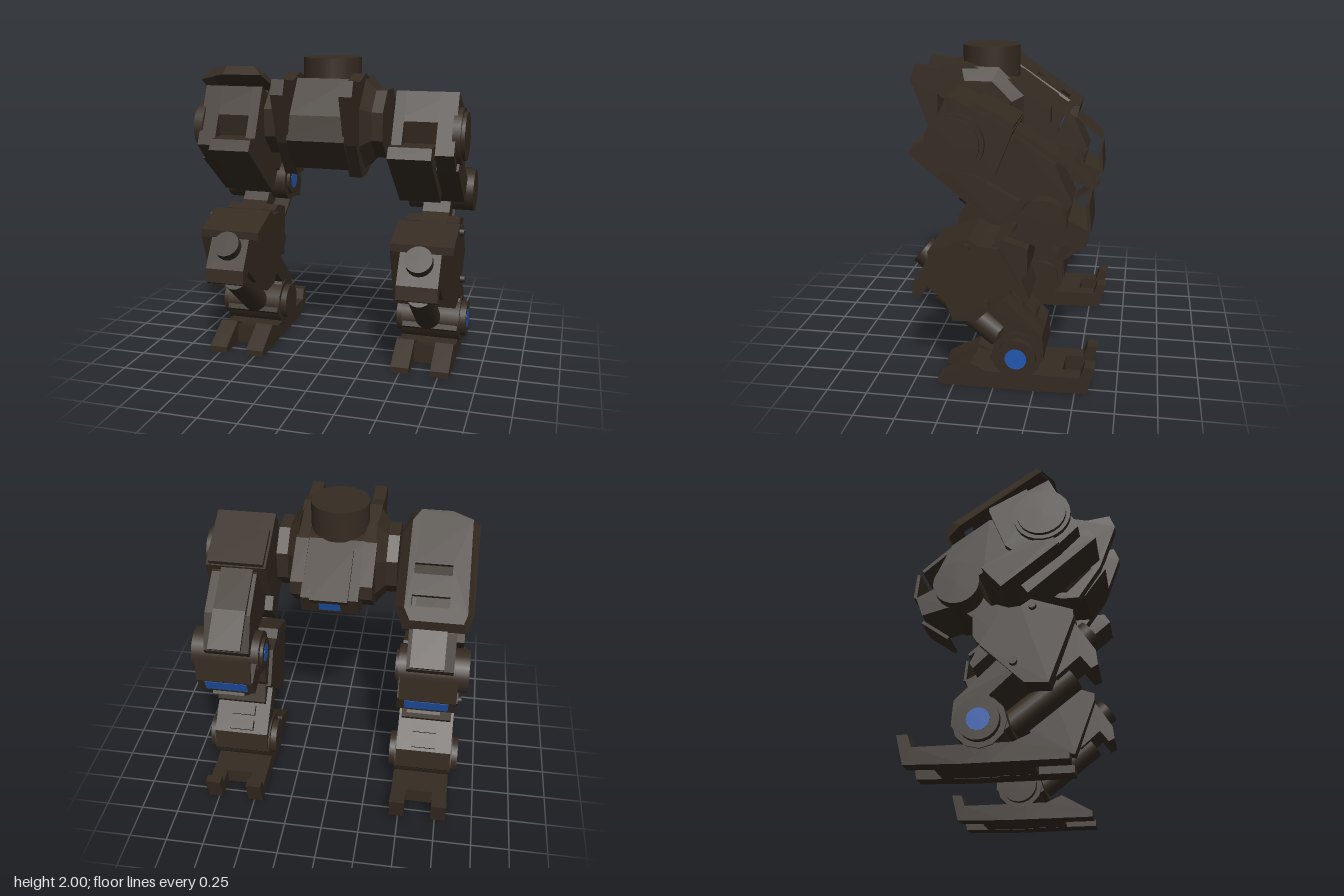
import * as THREE from 'three';

const brown = new THREE.MeshStandardMaterial({ color: 0x352b21 });
brown.name = 'dark brown armour';
const blue = new THREE.MeshStandardMaterial({ color: 0x2358b0 });
blue.name = 'blue light';
const shellBrown = brown.clone();
shellBrown.side = THREE.DoubleSide;

function add(parent, name, geo, mat = brown) {
  const mesh = new THREE.Mesh(geo, mat);
  mesh.name = name;
  parent.add(mesh);
  return mesh;
}

// Side profile given as [z, y] points, extruded from x0 to x1
function prism(parent, name, pts, x0, x1, mat) {
  const shape = new THREE.Shape(pts.map(([z, y]) => new THREE.Vector2(-z, y)));
  const geo = new THREE.ExtrudeGeometry(shape, { depth: Math.abs(x1 - x0), bevelEnabled: false });
  geo.rotateY(Math.PI / 2).translate(Math.min(x0, x1), 0, 0);
  return add(parent, name, geo, mat);
}

// Thin slab along the profile segment a-b, t thick
function slab(parent, name, a, b, t, x0, x1, mat) {
  const l = Math.hypot(b[0] - a[0], b[1] - a[1]);
  const n = [(-(b[1] - a[1]) / l) * t / 2, ((b[0] - a[0]) / l) * t / 2];
  const pts = [[a[0] + n[0], a[1] + n[1]], [b[0] + n[0], b[1] + n[1]],
    [b[0] - n[0], b[1] - n[1]], [a[0] - n[0], a[1] - n[1]]];
  return prism(parent, name, pts, x0, x1, mat);
}

// Cylinder across x between x0 and x1
function disc(parent, name, z, y, r, x0, x1, mat, sides = 24) {
  const geo = new THREE.CylinderGeometry(r, r, Math.abs(x1 - x0), sides);
  geo.rotateZ(Math.PI / 2).translate((x0 + x1) / 2, y, z);
  return add(parent, name, geo, mat);
}

// Cylinder between two [z, y] points in the plane x
function rod(parent, name, a, b, r, x) {
  const from = new THREE.Vector3(x, a[1], a[0]), to = new THREE.Vector3(x, b[1], b[0]);
  const mesh = add(parent, name, new THREE.CylinderGeometry(r, r, from.distanceTo(to), 20));
  mesh.position.copy(from).add(to).multiplyScalar(0.5);
  mesh.quaternion.setFromUnitVectors(new THREE.Vector3(0, 1, 0), to.sub(from).normalize());
}

function buildBody() {
  const g = new THREE.Group();
  g.name = 'body';
  prism(g, 'hull', [[0.34, 1.88], [0.5, 1.67], [0.54, 1.52], [0.4, 1.33], [0.05, 1.33],
    [-0.2, 1.45], [-0.24, 1.6], [-0.02, 1.81]], -0.18, 0.18);
  add(g, 'neck', new THREE.CylinderGeometry(0.183, 0.183, 0.2, 24)).position.set(0, 1.9, 0.14);
  for (const s of [-1, 1]) {
    prism(g, 'rib', [[0.585, 1.89], [0.62, 1.8], [0.51, 1.5], [0.36, 1.28], [0.25, 1.28], [-0.1, 1.4],
      [-0.27, 1.55], [-0.27, 1.64], [-0.03, 1.81], [0.28, 1.91], [0.43, 1.87]], s * 0.17, s * 0.25);
    // Octagonal hip hub with a tapered collar
    const collar = new THREE.CylinderGeometry(0.225, 0.31, 0.07, 8, 1).toNonIndexed();
    const hub = new THREE.CylinderGeometry(0.225, 0.225, 0.07, 8, 1).toNonIndexed();
    for (const [geo, x, name] of [[collar, 0.275, 'hub collar'], [hub, 0.345, 'hip hub']]) {
      geo.rotateY(Math.PI / 8).rotateZ(-s * Math.PI / 2).translate(s * x, 1.6, 0.172);
      geo.computeVertexNormals();
      add(g, name, geo);
    }
  }
  // Rear hatch
  prism(g, 'rear housing', [[-0.02, 1.81], [-0.35, 1.585], [-0.3, 1.46], [-0.1, 1.38], [0.1, 1.5]], -0.175, 0.175);
  slab(g, 'rear hatch', [-0.08, 1.77], [-0.37, 1.575], 0.04, -0.115, 0.115);
  slab(g, 'rear light', [-0.336, 1.55], [-0.308, 1.48], 0.006, -0.065, 0.065, blue);
  return g;
}

function buildLeg(s) {
  const g = new THREE.Group();
  g.name = s > 0 ? 'leftLeg' : 'rightLeg';
  const part = (name, pts, a, b, mat) => prism(g, name, pts, s * a, s * b, mat);
  const plate = (name, p, q, t, a, b, mat) => slab(g, name, p, q, t, s * a, s * b, mat);
  const wheel = (name, z, y, r, a, b, mat, n) => disc(g, name, z, y, r, s * a, s * b, mat, n);

  // Thigh: steep front with a notch between two cheeks
  part('thigh housing', [[0.25, 1.81], [0.335, 1.635], [0.3, 1.42], [0.12, 1.25],
    [-0.02, 1.36], [-0.125, 1.62]], 0.436, 0.82);
  for (const [a, b] of [[0.436, 0.5], [0.706, 0.82]]) {
    part('thigh cheek', [[0.25, 1.81], [0.425, 1.45], [0.3, 1.33], [0.15, 1.4]], a, b);
  }
  part('thigh underside', [[0.3, 1.5], [0.48, 1.5], [0.52, 1.435], [0.1, 1.09], [0, 1.22], [0.1, 1.36]], 0.436, 0.7);
  part('thigh side block', [[0.27, 1.385], [0.31, 1.34], [-0.04, 1.07], [-0.16, 1.21], [0.1, 1.36]], 0.6, 0.835);
  plate('thigh top plate', [0.12, 1.75], [-0.12, 1.63], 0.05, 0.45, 0.8);
  part('thigh beam', [[0, 1.6], [-0.13, 1.58], [-0.36, 1.42], [-0.46, 1.2], [-0.36, 1.05],
    [-0.16, 1.21], [0.08, 1.2]], 0.49, 0.78);
  plate('thigh beam cover', [-0.1, 1.59], [-0.36, 1.43], 0.05, 0.515, 0.72);
  wheel('hip ring', 0.21, 1.54, 0.175, 0.8, 0.85);
  wheel('hip cap', 0.21, 1.54, 0.15, 0.84, 0.872);

  // Knee
  wheel('knee drum', -0.3, 1.1, 0.14, 0.44, 0.875);
  wheel('knee inner cap', -0.3, 1.1, 0.1, 0.42, 0.44);
  wheel('knee light', -0.3, 1.1, 0.06, 0.418, 0.42, blue);
  part('knee guard', [[-0.4, 1.13], [-0.56, 1.05], [-0.515, 0.93], [-0.32, 0.98]], 0.45, 0.81);
  plate('knee upper flap', [-0.36, 1.45], [-0.555, 1.285], 0.022, 0.515, 0.72);
  plate('knee rear flap', [-0.55, 1.21], [-0.565, 1.05], 0.02, 0.46, 0.81);
  plate('knee lower flap', [-0.375, 0.815], [-0.54, 0.935], 0.02, 0.515, 0.72);
  plate('knee rear light', [-0.551, 1.025], [-0.521, 0.945], 0.006, 0.495, 0.765, blue);
  part('knee arm', [[0, 0.94], [-0.1, 0.98], [-0.22, 1.13], [-0.34, 1.02], [-0.21, 0.92],
    [-0.205, 0.77], [-0.14, 0.7], [0.02, 0.76]], 0.55, 0.73);

  // Shin: undercut housing with a narrower lip in front
  part('shin housing', [[0.14, 0.97], [0.385, 0.88], [0.385, 0.83], [0.24, 0.44], [0.1, 0.45],
    [-0.16, 0.7], [-0.04, 0.92], [0.08, 0.93]], 0.436, 0.835);
  part('shin back', [[0, 0.94], [-0.07, 0.965], [-0.21, 0.92], [-0.205, 0.77], [-0.18, 0.73], [-0.09, 0.66], [0, 0.7]], 0.46, 0.81);
  part('shin front lip', [[0.385, 0.83], [0.5, 0.65], [0.51, 0.56], [0.47, 0.54], [0.41, 0.62], [0.27, 0.5]], 0.5, 0.76);
  rod(g, 'shin knob', [0.3, 0.68], [0.465, 0.815], 0.088, s * 0.63);
  part('shin rear fin', [[-0.06, 0.7], [-0.2, 0.57], [-0.22, 0.6], [-0.16, 0.74]], 0.47, 0.8);
  wheel('shin bolt', 0.15, 0.92, 0.024, 0.82, 0.865, brown, 10);
  wheel('shin bolt', 0.04, 0.575, 0.024, 0.82, 0.865, brown, 10);
  part('lower shin', [[0.1, 0.58], [0.055, 0.535], [-0.1, 0.39], [-0.02, 0.3], [0.02, 0.2], [-0.17, 0.05],
    [-0.31, 0.22], [-0.3, 0.37], [-0.05, 0.61]], 0.45, 0.82);
  for (let i = 0; i < 3; i++) {
    const z = -0.09 - i * 0.08, y = 0.54 - i * 0.067;
    plate('shin step', [z + 0.02, y + 0.018], [z - 0.03, y - 0.025], 0.09, 0.55, 0.71);
  }
  rod(g, 'shin piston', [0.35, 0.55], [-0.01, 0.27], 0.085, s * 0.62);

  // Ankle
  wheel('ankle drum', -0.147, 0.234, 0.155, 0.44, 0.83, brown, 12);
  wheel('ankle cap', -0.147, 0.234, 0.12, 0.4, 0.87);
  wheel('ankle light', -0.147, 0.234, 0.066, 0.87, 0.872, blue);

  // Foot with split toes and heel
  for (const [a, b] of [[0.44, 0.56], [0.7, 0.82]]) {
    part('toe', [[0.345, 0], [0.345, 0.04], [0.14, 0.155], [0.04, 0.11], [-0.1, 0.11], [-0.1, 0]], a, b);
  }
  for (const [a, b] of [[0.44, 0.54], [0.72, 0.82]]) {
    part('heel', [[-0.05, 0], [-0.05, 0.11], [-0.53, 0.11], [-0.555, 0.185], [-0.62, 0.185], [-0.575, 0.01], [-0.25, 0]], a, b);
  }
  part('sole', [[0.14, 0], [0.14, 0.13], [0.05, 0.11], [-0.42, 0.11], [-0.42, 0.005]], 0.54, 0.72);
  return g;
}

// Slotted overhanging plate above the right thigh
function buildThighShell() {
  const g = new THREE.Group();
  g.name = 'thighShell';
  const top = [[-0.18, -0.36], [0.14, -0.36], [0.18, -0.28], [0.18, 0.3], [0.13, 0.38], [-0.06, 0.38], [-0.19, 0.33], [-0.2, -0.3]];
  const rim = [[-0.2, -0.39], [0.18, -0.39], [0.24, -0.24], [0.24, 0.24], [0.19, 0.4], [-0.07, 0.4], [-0.24, 0.33], [-0.24, -0.28]];
  const shape = new THREE.Shape(top.map(([x, z]) => new THREE.Vector2(x, -z)));
  for (const z of [-0.23, -0.02]) {
    const slot = [[-0.09, z - 0.035], [-0.09, z + 0.035], [0.14, z + 0.035], [0.14, z - 0.035]];
    shape.holes.push(new THREE.Path(slot.map(([x, w]) => new THREE.Vector2(x, -w))));
  }
  const geo = new THREE.ExtrudeGeometry(shape, { depth: 0.025, bevelEnabled: false });
  geo.rotateX(-Math.PI / 2).translate(0, -0.025, 0);
  add(g, 'shell top', geo);
  // Sloping rim around the plate
  const pos = [];
  const at = (p, k, y) => [p[k][0], y, p[k][1]];
  for (let i = 0; i < 8; i++) {
    const j = (i + 1) % 8;
    const [a, b, c, d] = [at(top, i, 0), at(top, j, 0), at(rim, j, -0.075), at(rim, i, -0.075)];
    pos.push(...a, ...c, ...b, ...a, ...d, ...c);
  }
  const skirt = new THREE.BufferGeometry();
  skirt.setAttribute('position', new THREE.Float32BufferAttribute(pos, 3));
  skirt.computeVertexNormals();
  add(g, 'shell rim', skirt, shellBrown);
  g.position.set(-0.63, 1.72, -0.1);
  g.rotation.x = -0.6;
  return g;
}

export function createModel() {
  const model = new THREE.Group();
  model.name = 'walkerLegs';
  model.add(buildBody(), buildLeg(1), buildLeg(-1), buildThighShell());
  return model;
}
